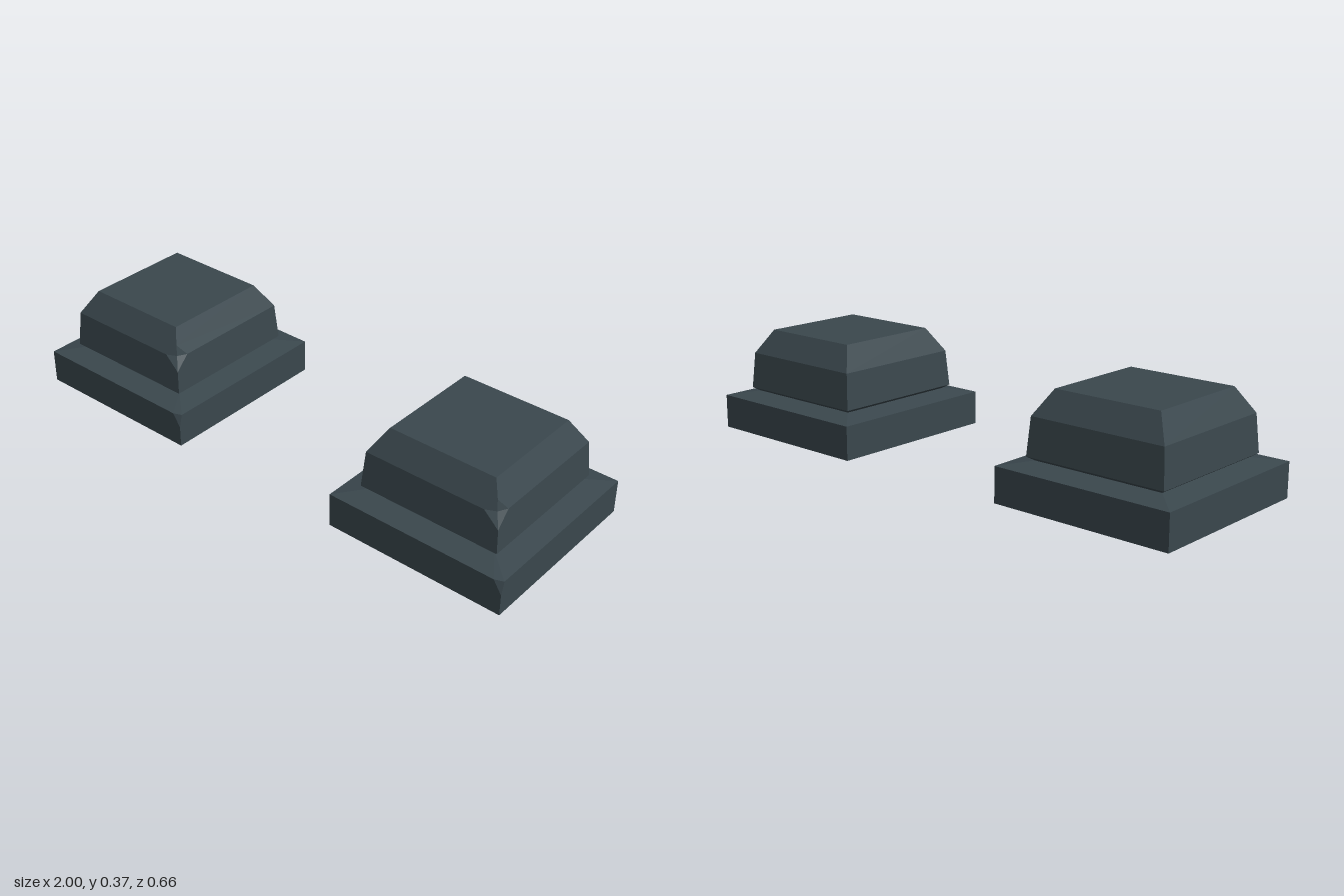
import * as THREE from 'three';

// Square rings from the ground up: [height, half width]
const RINGS = [[0, 0.33], [0.123, 0.33], [0.139, 0.24], [0.152, 0.26], [0.283, 0.25], [0.37, 0.198]];
const SIGNS = [[1, 1], [1, -1], [-1, -1], [-1, 1]];

// Broken corners at (+x, +z), keyed by ring: points on the right, front, lower and upper edges
const CHIPS = {
  1: { right: [0.33, 0.123, 0.318], front: [0.30, 0.123, 0.33], down: [0.33, 0.077, 0.33] },
  4: {
    right: [0.25, 0.283, 0.2], front: [0.197, 0.283, 0.25], down: [0.254, 0.235, 0.254],
    up: [0.227, 0.321, 0.227], centre: [0.233, 0.283, 0.233],
  },
};

function corner(ring, k) {
  const [y, h] = RINGS[ring];
  const [sx, sz] = SIGNS[k % 4];
  return [sx * h, y, sz * h];
}

// Flat-faced surface from convex polygons
function fromPolygons(polygons) {
  const positions = [];
  for (const p of polygons) {
    for (let i = 1; i < p.length - 1; i++) positions.push(...p[0], ...p[i], ...p[i + 1]);
  }
  const geometry = new THREE.BufferGeometry();
  geometry.setAttribute('position', new THREE.Float32BufferAttribute(positions, 3));
  geometry.computeVertexNormals();
  return geometry;
}

// Four walls between two neighbouring rings, leaving out the chipped corner
function band(b) {
  const low = CHIPS[b], high = CHIPS[b + 1];
  const polygons = [];
  for (let k = 0; k < 4; k++) {
    let l0 = [corner(b, k)], l1 = [corner(b, k + 1)];
    let u0 = [corner(b + 1, k)], u1 = [corner(b + 1, k + 1)];
    if (k === 0) {
      if (low) l0 = low.up ? [low.up, low.right] : [low.right];
      if (high) u0 = [high.right, high.down];
    }
    if (k === 3) {
      if (low) l1 = low.up ? [low.front, low.up] : [low.front];
      if (high) u1 = [high.down, high.front];
    }
    polygons.push([...l0, ...l1, ...u1, ...u0]);
  }
  return polygons;
}

export function createModel() {
  const stone = new THREE.MeshStandardMaterial({ color: 0x3a474d, side: THREE.DoubleSide, flatShading: true });
  stone.name = 'dark slate';

  const c = CHIPS[1], n = CHIPS[4];
  const parts = {
    // Hollow foot, open underneath, with its sloping ledge and bevelled chip
    base: [...band(0), ...band(1), [c.down, c.right, c.front], [c.front, c.right, corner(2, 0)]],
    // Undercut neck
    neck: band(2),
    // Tapered block, shoulders and flat top
    block: [...band(3), ...band(4), [0, 1, 2, 3].map((k) => corner(5, k))],
    // Dent in the shoulder corner
    dent: [
      [n.up, n.front, n.centre], [n.front, n.down, n.centre],
      [n.down, n.right, n.centre], [n.right, n.up, n.centre],
    ],
  };

  const model = new THREE.Group();
  model.name = 'pedestalPair';
  for (const [name, x] of [['leftPedestal', 0.669], ['rightPedestal', -0.669]]) {
    const pedestal = new THREE.Group();
    pedestal.name = name;
    pedestal.position.x = x;
    for (const [part, polygons] of Object.entries(parts)) {
      const mesh = new THREE.Mesh(fromPolygons(polygons), stone);
      mesh.name = part;
      pedestal.add(mesh);
    }
    model.add(pedestal);
  }
  return model;
}
